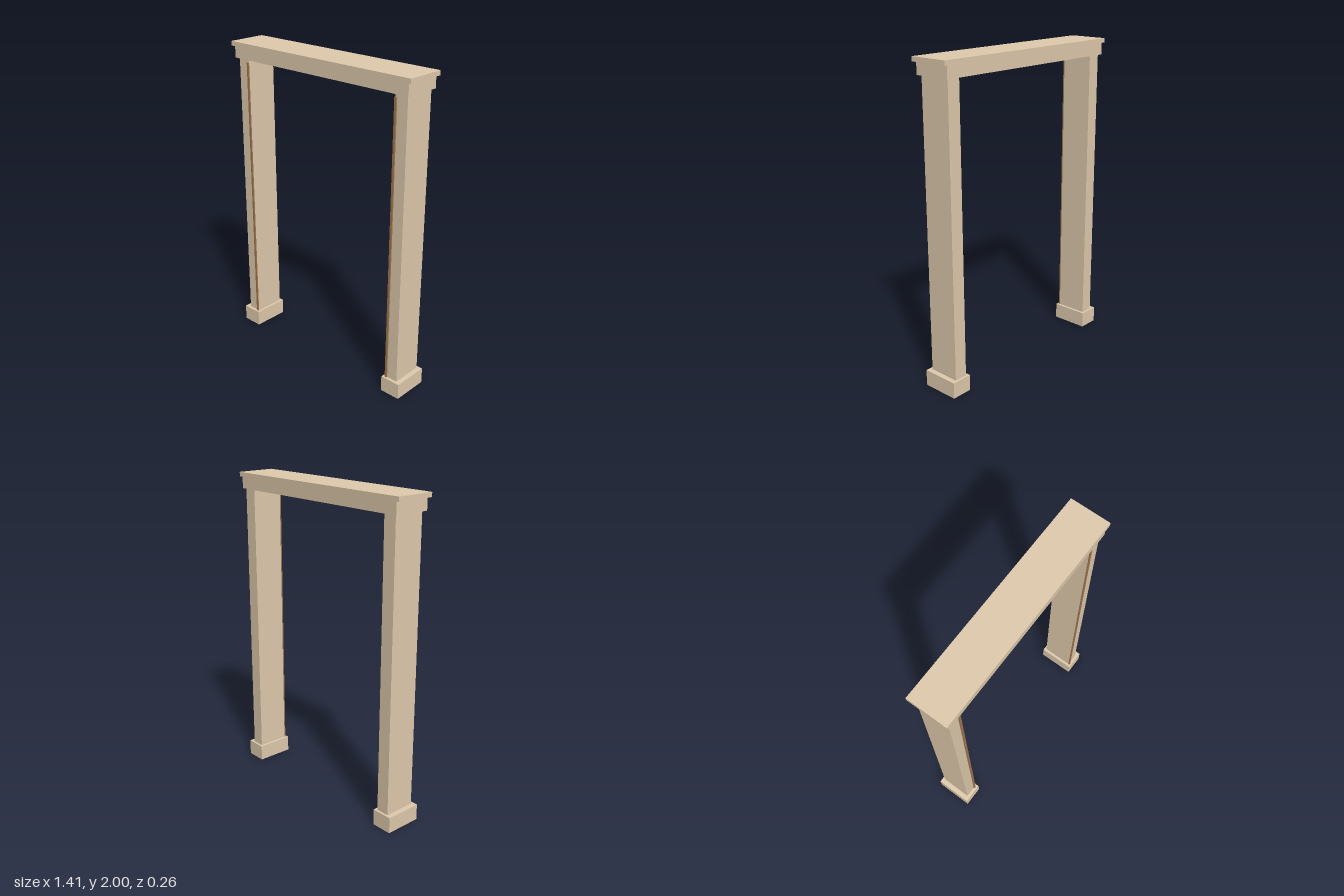
import * as THREE from 'three';

export function createModel() {
  const group = new THREE.Group();
  const stone = new THREE.MeshStandardMaterial({ color: 0xe1ccae });
  stone.name = 'sandstone';
  const wood = new THREE.MeshStandardMaterial({ color: 0xa07850 });
  wood.name = 'brown trim';

  // Box given by its lower and upper corners
  function block(name, material, [x0, y0, z0], [x1, y1, z1]) {
    const mesh = new THREE.Mesh(new THREE.BoxGeometry(x1 - x0, y1 - y0, z1 - z0), material);
    mesh.position.set((x0 + x1) / 2, (y0 + y1) / 2, (z0 + z1) / 2);
    mesh.name = name;
    group.add(mesh);
  }

  // Posts with plinths, and a thin trim strip on the inner front edge
  for (const [side, s] of [['left', 1], ['right', -1]]) {
    const part = (name, material, inner, outer, y0, y1, z0, z1) => {
      const [x0, x1] = s > 0 ? [inner, outer] : [-outer, -inner];
      block(side + name, material, [x0, y0, z0], [x1, y1, z1]);
    };
    part('Plinth', stone, 0.563, 0.697, 0, 0.102, -0.122, 0.117);
    part('Post', stone, 0.58, 0.665, 0.102, 1.898, -0.107, 0.097);
    part('TrimStrip', wood, 0.579, 0.593, 0.102, 1.877, 0.097, 0.105);
  }

  // Lintel and overhanging cap
  block('lintel', stone, [-0.682, 1.898, -0.122], [0.682, 1.972, 0.117]);
  block('cap', stone, [-0.703, 1.972, -0.128], [0.703, 2, 0.128]);

  return group;
}
